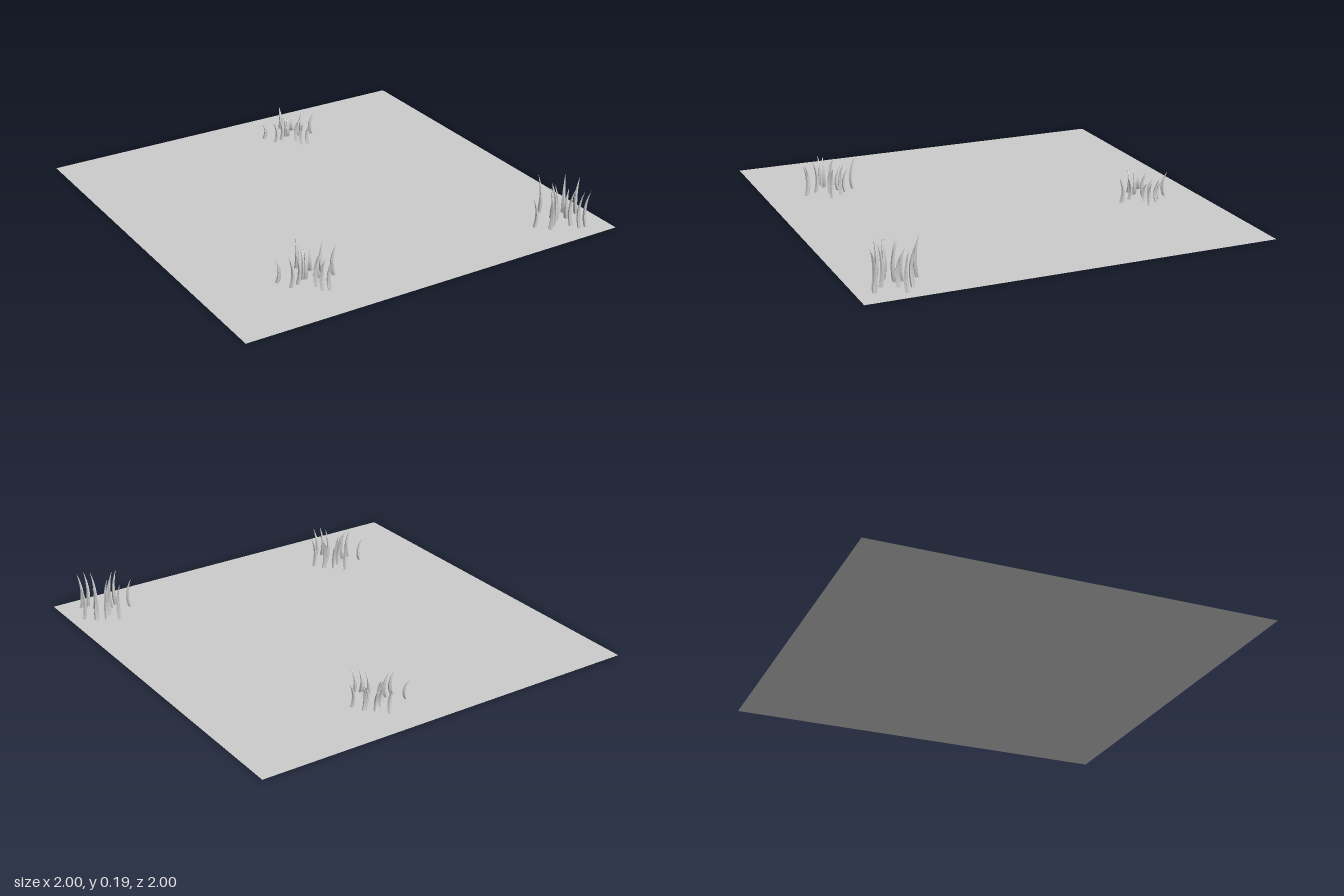
import * as THREE from 'three';

const material = new THREE.MeshStandardMaterial({ color: 0xcccccc, flatShading: true });
const groundMaterial = new THREE.MeshStandardMaterial({ color: 0xcccccc, side: THREE.DoubleSide });

// Blades of one tuft: x, z around the tuft centre, height relative to the tuft
const BLADES = [
  [0.02, -0.14, 1], [-0.12, -0.07, 0.76], [0.06, -0.09, 0.78], [0.1, -0.055, 1],
  [0.015, -0.065, 0.78], [-0.01, -0.04, 1], [0.002, -0.033, 0.95], [-0.05, -0.01, 1],
  [-0.09, 0, 0.96], [0.06, -0.01, 0.78], [0.13, 0, 0.96], [0.01, 0.05, 1],
  [0.015, 0.095, 0.97], [0.045, 0.11, 0.95],
];

// A tapered, pointed blade of unit height that bows inward, then leans out along +x
function bladeGeometry() {
  const geometry = new THREE.CylinderGeometry(1, 1, 1, 5, 7);
  geometry.translate(0, 0.5, 0);
  const p = geometry.attributes.position;
  for (let i = 0; i < p.count; i++) {
    const t = p.getY(i);
    const r = 0.011 * (1 - t * t) + 0.0004;
    const bend = -0.05 * t + 0.064 * t * t;
    p.setXYZ(i, p.getX(i) * r * 0.85 + bend, t, p.getZ(i) * r);
  }
  geometry.computeVertexNormals();
  return geometry;
}

function createTuft(geometry, x, z, height, turn) {
  const tuft = new THREE.Group();
  tuft.name = 'grassTuft';
  for (const [bx, bz, h] of BLADES) {
    const blade = new THREE.Mesh(geometry, material);
    blade.name = 'grassBlade';
    blade.position.set(bx, 0, bz);
    blade.rotation.y = Math.atan2(-bz, bx); // lean away from the tuft centre
    blade.scale.y = h * height;
    tuft.add(blade);
  }
  tuft.position.set(x, 0, z);
  tuft.rotation.y = turn;
  return tuft;
}

export function createModel() {
  const model = new THREE.Group();
  model.name = 'grassPatch';

  // Flat square ground
  const ground = new THREE.Mesh(new THREE.PlaneGeometry(2, 2).rotateX(-Math.PI / 2), groundMaterial);
  ground.name = 'ground';
  model.add(ground);

  // Three tufts of growing height
  const blade = bladeGeometry();
  model.add(
    createTuft(blade, 0.21, -0.7, 0.12, 0),
    createTuft(blade, -0.51, 0.69, 0.16, 0),
    createTuft(blade, 0.81, 0.825, 0.195, 0.31),
  );
  return model;
}
